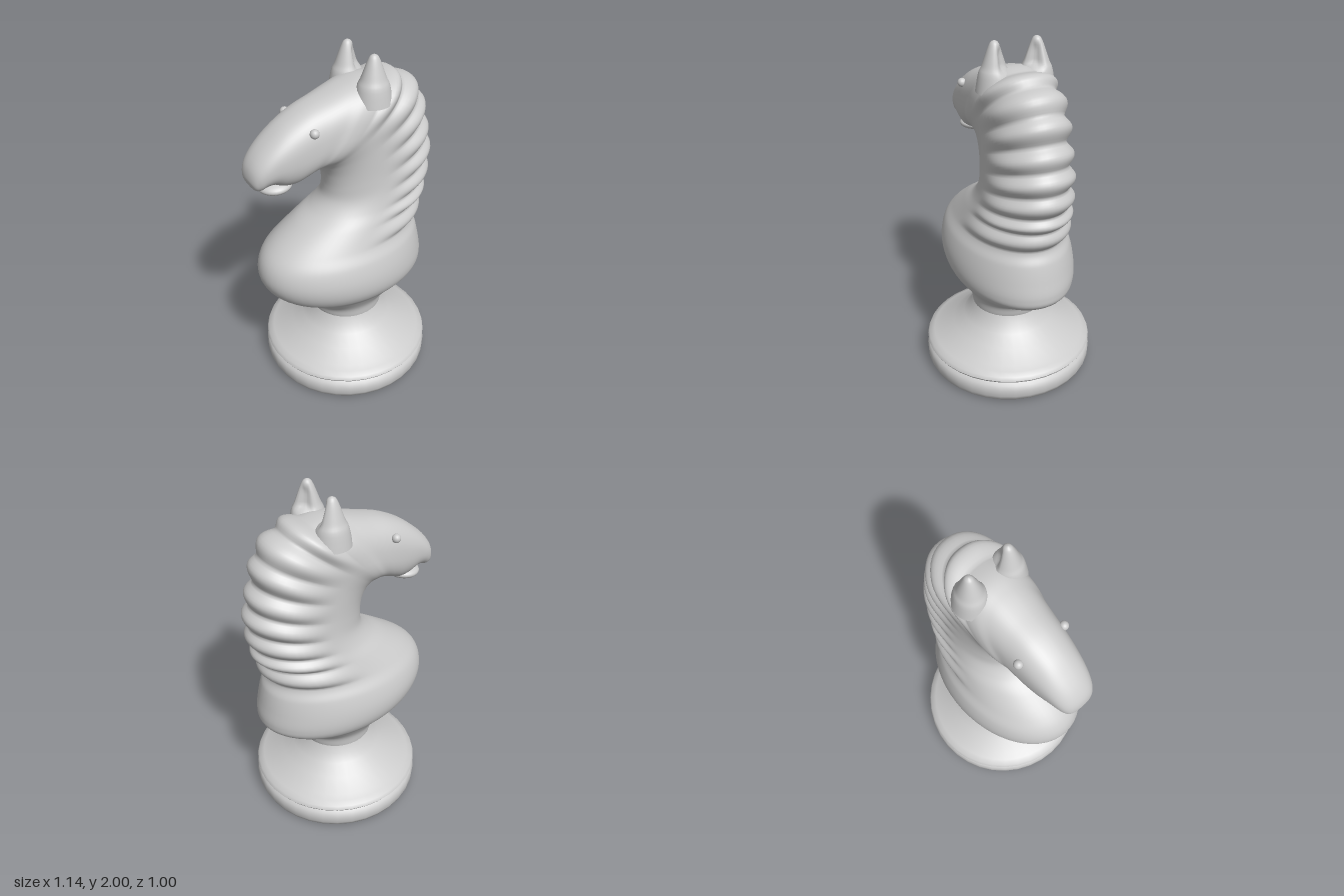
import * as THREE from 'three';
import { toCreasedNormals, mergeVertices } from 'three/addons/utils/BufferGeometryUtils.js';

const material = new THREE.MeshStandardMaterial({ color: 0xcccccc });

function part(name, geometry) {
  const mesh = new THREE.Mesh(geometry, material);
  mesh.name = name;
  return mesh;
}

// Cross-sections from waist to nose:
// [front x, front y, back x, back y, half width, squareness]
const WAIST = [
  [-0.182, 0.40, 0.242, 0.40, 0.212, 2],
  [-0.215, 0.47, 0.275, 0.48, 0.225, 2],
  [-0.35, 0.565, 0.41, 0.555, 0.275, 2],
  [-0.455, 0.635, 0.505, 0.62, 0.325, 2],
  [-0.51, 0.71, 0.522, 0.68, 0.348, 2],
  [-0.525, 0.79, 0.508, 0.77, 0.348, 2],
  [-0.50, 0.875, 0.485, 0.87, 0.325, 2],
];
// Each gap between these is one ridge of the mane
const NECK = [
  [-0.43, 0.95, 0.455, 0.95, 0.285, 2],
  [-0.29, 1.045, 0.49, 1.07, 0.252, 2],
  [-0.18, 1.11, 0.515, 1.17, 0.23, 2],
  [-0.12, 1.175, 0.535, 1.30, 0.215, 2],
  [-0.105, 1.25, 0.525, 1.43, 0.205, 2.1],
  [-0.115, 1.33, 0.49, 1.56, 0.2, 2.1],
  [-0.14, 1.385, 0.455, 1.70, 0.197, 2.2],
  [-0.165, 1.41, 0.34, 1.81, 0.197, 2.3],
  [-0.19, 1.423, 0.20, 1.845, 0.2, 2.4],
];
const HEAD = [
  [-0.22, 1.42, 0.10, 1.855, 0.192, 2.4],
  [-0.255, 1.405, 0.0, 1.835, 0.175, 2.4],
  [-0.30, 1.385, -0.12, 1.80, 0.165, 2.4],
  [-0.345, 1.37, -0.25, 1.762, 0.155, 2.4],
  [-0.40, 1.375, -0.36, 1.71, 0.143, 2.3],
  [-0.45, 1.40, -0.45, 1.645, 0.128, 2.3],
  [-0.49, 1.40, -0.52, 1.58, 0.112, 2.2],
  [-0.52, 1.387, -0.56, 1.52, 0.092, 2.2],
  [-0.545, 1.39, -0.573, 1.46, 0.062, 2],
  [-0.563, 1.42, -0.563, 1.42, 0, 2],
];

// Body, neck and head skinned over the sections, with mane ridges at the back
function bodyGeometry() {
  const sections = [...WAIST, ...NECK, ...HEAD];
  const maneStart = WAIST.length;
  const maneEnd = maneStart + NECK.length - 1;
  const spline = (pick) =>
    new THREE.CatmullRomCurve3(sections.map(pick), false, 'catmullrom', 0.5);
  const fronts = spline((s) => new THREE.Vector3(s[0], s[1], s[4]));
  const backs = spline((s) => new THREE.Vector3(s[2], s[3], s[5]));

  const around = 56, perSection = 10;
  const rings = (sections.length - 1) * perSection;
  const positions = [], index = [];
  for (let i = 0; i <= rings; i++) {
    const t = i / perSection;
    const f = fronts.getPoint(i / rings), b = backs.getPoint(i / rings);
    const cx = (f.x + b.x) / 2, cy = (f.y + b.y) / 2;
    const hx = (b.x - f.x) / 2, hy = (b.y - f.y) / 2;
    const length = Math.hypot(hx, hy) || 1;
    const inMane = t > maneStart && t < maneEnd;
    const ridge = inMane ? 0.036 * Math.pow(Math.abs(Math.sin(Math.PI * t)), 1.3) : 0;
    for (let j = 0; j < around; j++) {
      const a = (j / around) * Math.PI * 2;
      const c = Math.cos(a), s = Math.sin(a);
      const round = (v) => Math.sign(v) * Math.pow(Math.abs(v), 2 / b.z);
      const lift = ridge * THREE.MathUtils.smoothstep(c, -0.15, 0.65);
      const along = round(c) + (lift * c) / length;
      positions.push(cx + hx * along, cy + hy * along, f.z * round(s) + lift * s);
      if (i < rings) {
        const p = i * around + j, q = i * around + ((j + 1) % around);
        index.push(p, p + around, q, q, p + around, q + around);
      }
    }
  }
  const geometry = new THREE.BufferGeometry();
  geometry.setAttribute('position', new THREE.Float32BufferAttribute(positions, 3));
  geometry.setIndex(index);
  geometry.computeVertexNormals();
  return geometry;
}

// Turned foot with a groove between its two rims
function baseGeometry() {
  const profile = [
    [0, 0], [0.455, 0], [0.485, 0.015], [0.498, 0.045], [0.5, 0.085], [0.492, 0.118],
    [0.472, 0.132], [0.472, 0.14], [0.488, 0.142], [0.496, 0.155], [0.487, 0.176],
    [0.455, 0.19], [0.42, 0.208], [0.335, 0.26], [0.27, 0.312], [0.23, 0.36], [0.212, 0.405],
  ].map(([r, y]) => new THREE.Vector2(r, y));
  return toCreasedNormals(new THREE.LatheGeometry(profile, 36), 0.8);
}

// Pointed ear, flared at the foot and hollowed towards the back and inside
function earGeometry() {
  const outline = new THREE.SplineCurve([
    [0.105, 1.74], [0.088, 1.83], [0.07, 1.87], [0.055, 1.91],
    [0.036, 1.96], [0.02, 1.99], [0, 2.0],
  ].map(([r, y]) => new THREE.Vector2(r, y)));
  const points = outline.getPoints(20);
  points[20].x = 0;
  let geometry = new THREE.LatheGeometry(points, 28);
  geometry.deleteAttribute('uv');
  geometry.deleteAttribute('normal');
  geometry = mergeVertices(geometry);
  const p = geometry.attributes.position;
  for (let i = 0; i < p.count; i++) {
    const x = p.getX(i), y = p.getY(i), z = p.getZ(i);
    const facing = (x * 0.75 - z * 0.66) / (Math.hypot(x, z) || 1);
    const height = THREE.MathUtils.smoothstep(y, 1.82, 1.88) *
      (1 - THREE.MathUtils.smoothstep(y, 1.93, 1.99));
    const k = 1 - 0.5 * height * THREE.MathUtils.smoothstep(facing, 0.6, 1);
    p.setXYZ(i, x * k, y, z * k * 0.93);
  }
  geometry.computeVertexNormals();
  return geometry;
}

export function createModel() {
  const model = new THREE.Group();
  model.name = 'horseChessPiece';

  const base = part('base', baseGeometry());
  base.position.x = 0.03;
  model.add(base, part('body', bodyGeometry()));

  // Lower lip, leaving a slit for the mouth
  const jaw = part('lowerJaw', new THREE.SphereGeometry(1, 32, 20));
  jaw.scale.set(0.095, 0.038, 0.098);
  jaw.position.set(-0.417, 1.373, 0);
  jaw.rotation.z = 0.06;
  model.add(jaw);

  // Ears and eyes on both sides
  for (const side of [1, -1]) {
    const name = side > 0 ? 'left' : 'right';
    const ear = part(name + 'Ear', earGeometry());
    ear.position.set(0.115, 0, 0.118 * side);
    if (side < 0) ear.scale.z = -1;
    const eye = part(name + 'Eye', new THREE.SphereGeometry(0.025, 16, 12));
    eye.position.set(-0.255, 1.68, 0.148 * side);
    model.add(ear, eye);
  }
  return model;
}
